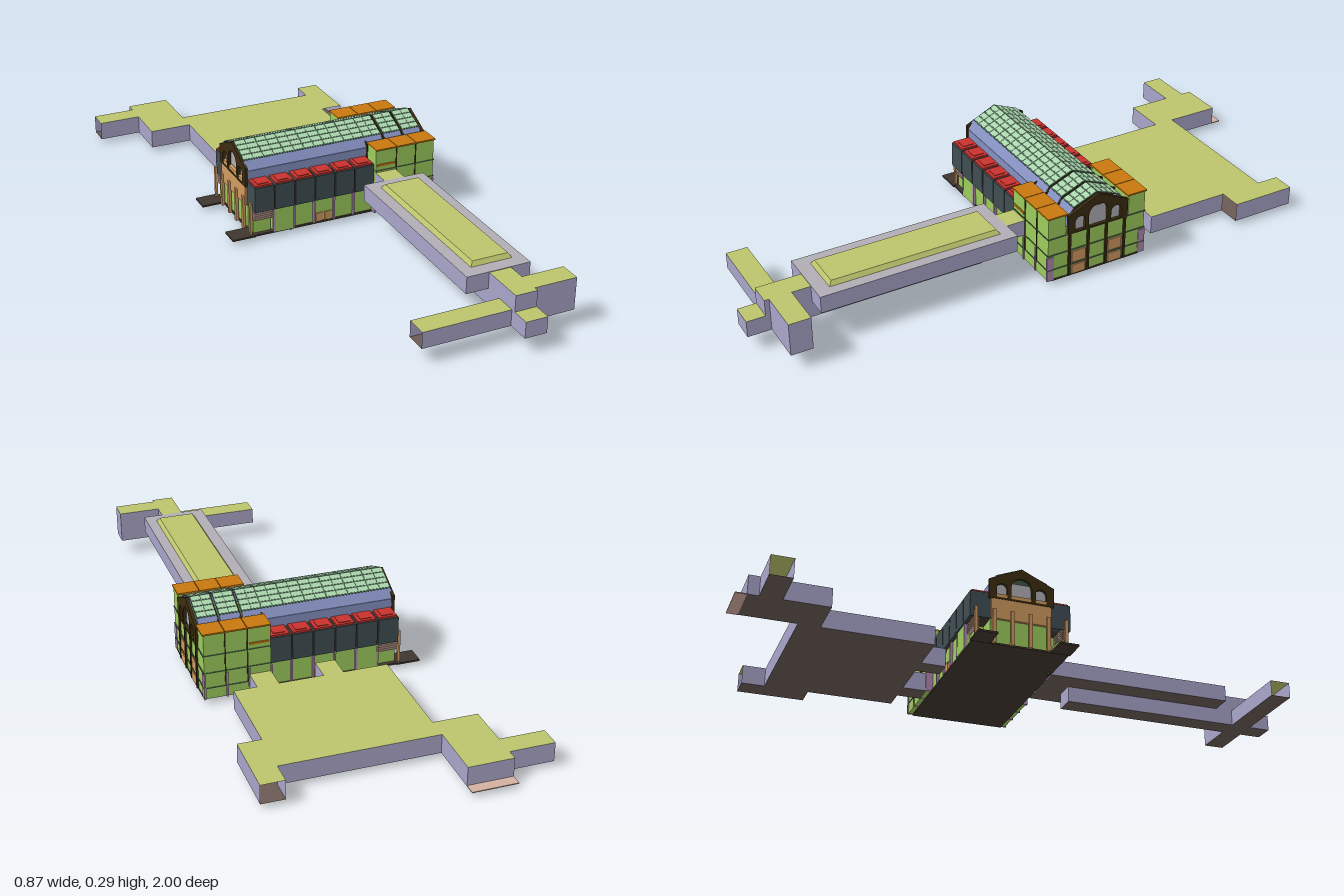
import * as THREE from 'three';

const C = {
  green: 0x9ccb5c, lime: 0xbcc46c, lilac: 0xa8a4c8, grey: 0xb0aeb4, floor: 0x6a5a56, pink: 0xd4b0a0,
  teal: 0x3f4d52, red: 0xc8322c, orange: 0xc8780f, blue: 0xa0aae0, paleBlue: 0x8490c0,
  glass: 0xa8d4ac, frame: 0x4c6850, brown: 0x3a2c10, tan: 0xd09a60, dark: 0x40362f, mauve: 0xb088b0,
};
const mats = {};
const mat = (c) => (mats[c] ??= new THREE.MeshStandardMaterial({ color: C[c], side: THREE.DoubleSide, flatShading: true }));
const MID = -0.1; // z of the hall's ridge

export function createModel() {
  const model = new THREE.Group();
  const section = (name) => {
    const g = new THREE.Group();
    g.name = name;
    model.add(g);
    return g;
  };
  const add = (parent, name, geo, color) => {
    const m = new THREE.Mesh(geo, mat(color));
    m.name = name;
    parent.add(m);
    return m;
  };
  const box = (parent, name, color, x0, x1, y0, y1, z0, z1) => {
    const m = add(parent, name, new THREE.BoxGeometry(x1 - x0, y1 - y0, z1 - z0), color);
    m.position.set((x0 + x1) / 2, (y0 + y1) / 2, (z0 + z1) / 2);
    return m;
  };
  // box repeated on both long sides of the hall; z values are for the front
  const both = (parent, name, color, x0, x1, y0, y1, z0, z1) => {
    box(parent, name, color, x0, x1, y0, y1, z0, z1);
    box(parent, name, color, x0, x1, y0, y1, 2 * MID - z1, 2 * MID - z0);
  };
  // thin hollow passage over an outline of [x, z] points; listed edges stay open
  const shell = (name, pts, y0, y1, open = [], roof = 'lime') => {
    const g = section(name);
    const shape = new THREE.Shape(pts.map(([x, z]) => new THREE.Vector2(x, -z)));
    for (const [part, y, color] of [['floor', y0, 'floor'], ['roof', y1, roof]]) {
      if (!color) continue;
      add(g, part, new THREE.ShapeGeometry(shape).rotateX(-Math.PI / 2), color).position.y = y;
    }
    pts.forEach(([x, z], i) => {
      if (open.includes(i)) return;
      const [u, v] = pts[(i + 1) % pts.length];
      const w = add(g, 'wall', new THREE.PlaneGeometry(Math.hypot(u - x, v - z), y1 - y0), 'lilac');
      w.position.set((x + u) / 2, (y0 + y1) / 2, (z + v) / 2);
      w.rotation.y = -Math.atan2(v - z, u - x);
    });
    return g;
  };
  const rect = (x0, x1, z0, z1) => [[x0, z0], [x1, z0], [x1, z1], [x0, z1]];

  // rear concourse with its two links, right wing and left arm
  shell('rearConcourse', [
    [-0.145, -0.355], [0, -0.355], [0, -0.275], [0.065, -0.275], [0.065, -0.355], [0.21, -0.355],
    [0.21, -0.275], [0.28, -0.275], [0.28, -0.355], [0.355, -0.355], [0.355, -0.64], [0.43, -0.64],
    [0.43, -0.86], [0.355, -0.86], [0.355, -0.785], [-0.145, -0.785], [-0.145, -0.965], [-0.29, -0.965],
    [-0.29, -0.93], [-0.435, -0.93], [-0.435, -0.86], [-0.29, -0.86], [-0.29, -0.715], [-0.145, -0.715],
  ], 0.015, 0.078, [2, 6, 10, 12, 19]);
  box(model, 'rearStep', 'pink', -0.29, -0.145, 0.014, 0.017, -1, -0.965);

  // front passage: lower corridor, upper gallery, cross arms and end stub
  shell('lowerCorridor', [
    [0.21, 0.23], [0.283, 0.23], [0.283, 0.855], [0.425, 0.855], [0.425, 0.925], [0.283, 0.925],
    [0.283, 1], [0.21, 1], [0.21, 0.925], [-0.08, 0.925], [-0.08, 0.855], [0.21, 0.855],
  ], 0.052, 0.106, [9]);
  shell('upperCrossing', [
    [0.21, 0.795], [0.283, 0.795], [0.283, 0.855], [0.425, 0.855], [0.425, 0.925],
    [0.283, 0.925], [0.283, 0.94], [0.21, 0.94],
  ], 0.106, 0.16, [0]);
  shell('gallery', rect(0.135, 0.35, 0.14, 0.795), 0.106, 0.162, [], 'grey');
  shell('galleryLink', rect(0.21, 0.283, 0.075, 0.14), 0.106, 0.16, [0, 2]);
  // raised gallery roof, narrowing upward
  const cap = new THREE.BoxGeometry(0.14, 0.014, 0.57);
  const p = cap.attributes.position;
  for (let i = 0; i < p.count; i++) {
    if (p.getY(i) > 0) p.setXYZ(i, p.getX(i) * 0.86, p.getY(i), p.getZ(i) * 0.965);
  }
  add(model, 'galleryRoof', cap, 'lime').position.set(0.245, 0.169, 0.465);

  // ground storey
  const base = section('groundStorey');
  box(base, 'baseSlab', 'dark', -0.22, 0.425, 0.012, 0.018, -0.26, 0.06);
  box(base, 'hallWalls', 'green', -0.15, 0.21, 0.016, 0.1, -0.255, 0.055);
  box(base, 'innerWalls', 'green', -0.215, -0.15, 0.016, 0.1, -0.2, 0.0);
  both(base, 'porch', 'green', -0.15, -0.08, 0.016, 0.099, 0.05, 0.063);
  both(base, 'lowWall', 'green', -0.215, -0.155, 0.016, 0.062, 0.03, 0.045);
  for (let i = 0; i < 5; i++) {
    both(base, 'louvre', 'pink', -0.217, -0.153, 0.066 + i * 0.007, 0.07 + i * 0.007, 0.035, 0.055);
  }
  both(base, 'landing', 'dark', -0.295, -0.215, 0.013, 0.019, 0, 0.065);
  for (let i = 0; i < 9; i++) {
    const x = -0.149 + i * 0.0715;
    both(base, 'pillar', 'mauve', x - 0.003, x + 0.003, 0.015, 0.1, 0.055, x > 0.2 ? 0.079 : 0.064);
  }
  both(base, 'door', 'tan', 0.002, 0.028, 0.016, 0.048, 0.054, 0.058);
  both(base, 'door', 'tan', 0.034, 0.06, 0.016, 0.048, 0.054, 0.058);
  both(base, 'footing', 'frame', -0.084, -0.08, 0, 0.016, 0.04, 0.045);

  // upper storey: six glazed bays with red tops on each side
  const bays = section('glazedBays');
  box(bays, 'upperCore', 'dark', -0.215, 0.21, 0.1, 0.186, -0.262, 0.062);
  for (let i = 0; i < 6; i++) {
    const x = -0.219 + i * 0.0715;
    both(bays, 'bayWindow', 'teal', x + 0.002, x + 0.069, 0.1, 0.187, 0, 0.067);
    both(bays, 'bayTop', 'red', x + 0.006, x + 0.066, 0.186, 0.193, 0.004, 0.062);
    both(bays, 'bayTopPanel', 'red', x + 0.017, x + 0.055, 0.193, 0.195, 0.014, 0.052);
  }

  // right end: main block and corner towers
  const end = section('endBlock');
  box(end, 'endWalls', 'green', 0.21, 0.424, 0.016, 0.168, -0.275, 0.075);
  for (const y of [0.052, 0.105, 0.165]) box(end, 'ledge', 'frame', 0.209, 0.427, y, y + 0.003, -0.277, 0.077);
  both(end, 'tower', 'green', 0.21, 0.424, 0.168, 0.24, 0.015, 0.075);
  for (const [x0, x1] of [[0.209, 0.284], [0.286, 0.355], [0.357, 0.428]]) {
    both(end, 'towerTop', 'orange', x0, x1, 0.239, 0.244, 0.008, 0.079);
  }
  for (const x of [0.285, 0.356]) both(end, 'towerJoint', 'brown', x - 0.002, x + 0.002, 0.055, 0.241, 0.07, 0.077);
  both(end, 'balconyTrim', 'orange', 0.215, 0.28, 0.182, 0.189, 0.075, 0.078);
  for (const z of [-0.0, -0.067, -0.133, -0.2]) {
    box(end, 'endPillar', 'brown', 0.423, 0.43, 0.016, 0.17, z - 0.004, z + 0.004);
  }
  for (const z of [-0.034, -0.166]) {
    box(end, 'endDoor', 'tan', 0.422, 0.429, 0.018, 0.05, z - 0.024, z + 0.024);
    box(end, 'endWindow', 'tan', 0.422, 0.428, 0.06, 0.1, z - 0.024, z + 0.024);
  }

  // left end: tan entrance wall with columns
  const entry = section('entranceEnd');
  box(entry, 'entranceWall', 'tan', -0.224, -0.214, 0.1, 0.186, -0.2, 0);
  for (let i = 0; i < 4; i++) {
    const z = -0.19 + i * 0.06;
    box(entry, 'entranceColumn', 'tan', -0.231, -0.221, 0.014, 0.13, z - 0.006, z + 0.006);
  }
  both(entry, 'sideColumn', 'tan', -0.23, -0.222, 0.014, 0.13, 0.045, 0.055);

  // hall roof profile: wall, sloped clerestory, shallow gable; [distance from ridge, y]
  const A = [0.103, 0.186], B = [0.103, 0.222], D = [0.083, 0.25], E = [0, 0.284];
  const roof = section('hallRoof');
  const panel = (name, color, side, x0, x1, a, b, lift, t = 0.003) => {
    const dz = (b[0] - a[0]) * side, dy = b[1] - a[1];
    const m = add(roof, name, new THREE.BoxGeometry(x1 - x0, t, Math.hypot(dz, dy)), color);
    m.rotation.x = Math.atan2(-dy, dz);
    const n = new THREE.Vector2(-b[1] + a[1], b[0] - a[0]).normalize().multiplyScalar(-lift);
    m.position.set((x0 + x1) / 2, (a[1] + b[1]) / 2 + n.y, MID + ((a[0] + b[0]) / 2 - n.x) * side);
    if (side < 0) m.position.z = MID - ((a[0] + b[0]) / 2 - n.x);
  };
  const mix = (a, b, t) => [a[0] + (b[0] - a[0]) * t, a[1] + (b[1] - a[1]) * t];
  const starts = Array.from({ length: 9 }, (_, i) => -0.22 + i * 0.0717);
  for (const side of [1, -1]) {
    for (const x of starts) {
      const x1 = x + (x > 0.2 ? 0.064 : 0.0717), mid = (x + x1) / 2;
      panel('lowerGlazing', 'paleBlue', side, x, x1, A, B, 0);
      panel('clerestoryFrame', 'paleBlue', side, x, x1, B, D, 0);
      panel('clerestory', 'blue', side, x + 0.004, x1 - 0.004, mix(B, D, 0.08), mix(B, D, 0.92), 0.002);
      panel('roofFrame', 'frame', side, x, x1, D, E, 0);
      for (let r = 0; r < 4; r++) {
        const a = mix(D, E, r / 4 + 0.03), b = mix(D, E, r / 4 + 0.22);
        panel('roofPane', 'glass', side, x + 0.002, mid - 0.001, a, b, 0.0015);
        panel('roofPane', 'glass', side, mid + 0.001, x1 - 0.002, a, b, 0.0015);
      }
    }
  }

  // gable frames with arched openings, and plain ribs between roof sections
  const gable = (name, x, depth, arched) => {
    const s = new THREE.Shape();
    const pts = [[0.108, 0.168], [0.108, 0.234], [0, 0.284]];
    s.moveTo(-pts[0][0], pts[0][1]);
    s.lineTo(-pts[1][0], pts[1][1]).lineTo(0, 0.284).lineTo(pts[1][0], pts[1][1]).lineTo(pts[0][0], pts[0][1]);
    s.closePath();
    if (arched) {
      for (const [c, w, top] of [[0, 0.034, 0.215], [-0.065, 0.018, 0.205], [0.065, 0.018, 0.205]]) {
        const h = new THREE.Path();
        h.moveTo(c - w, 0.174).lineTo(c + w, 0.174).lineTo(c + w, top);
        h.absarc(c, top, w, 0, Math.PI, false);
        h.closePath();
        s.holes.push(h);
      }
    }
    const geo = new THREE.ExtrudeGeometry(s, { depth, bevelEnabled: false, curveSegments: 10 }).rotateY(Math.PI / 2);
    add(roof, name, geo, 'brown').position.set(x, 0, MID);
  };
  gable('rightGable', 0.42, 0.01, true);
  gable('leftGable', -0.226, 0.01, true);
  gable('rib', 0.21, 0.005, false);
  for (const x of [0.278, 0.35]) gable('rib', x, 0.006, false);
  box(roof, 'rightArchGlass', 'grey', 0.414, 0.416, 0.17, 0.235, -0.19, -0.01);
  box(roof, 'leftArchGlass', 'grey', -0.213, -0.211, 0.17, 0.235, -0.19, -0.01);

  return model;
}
